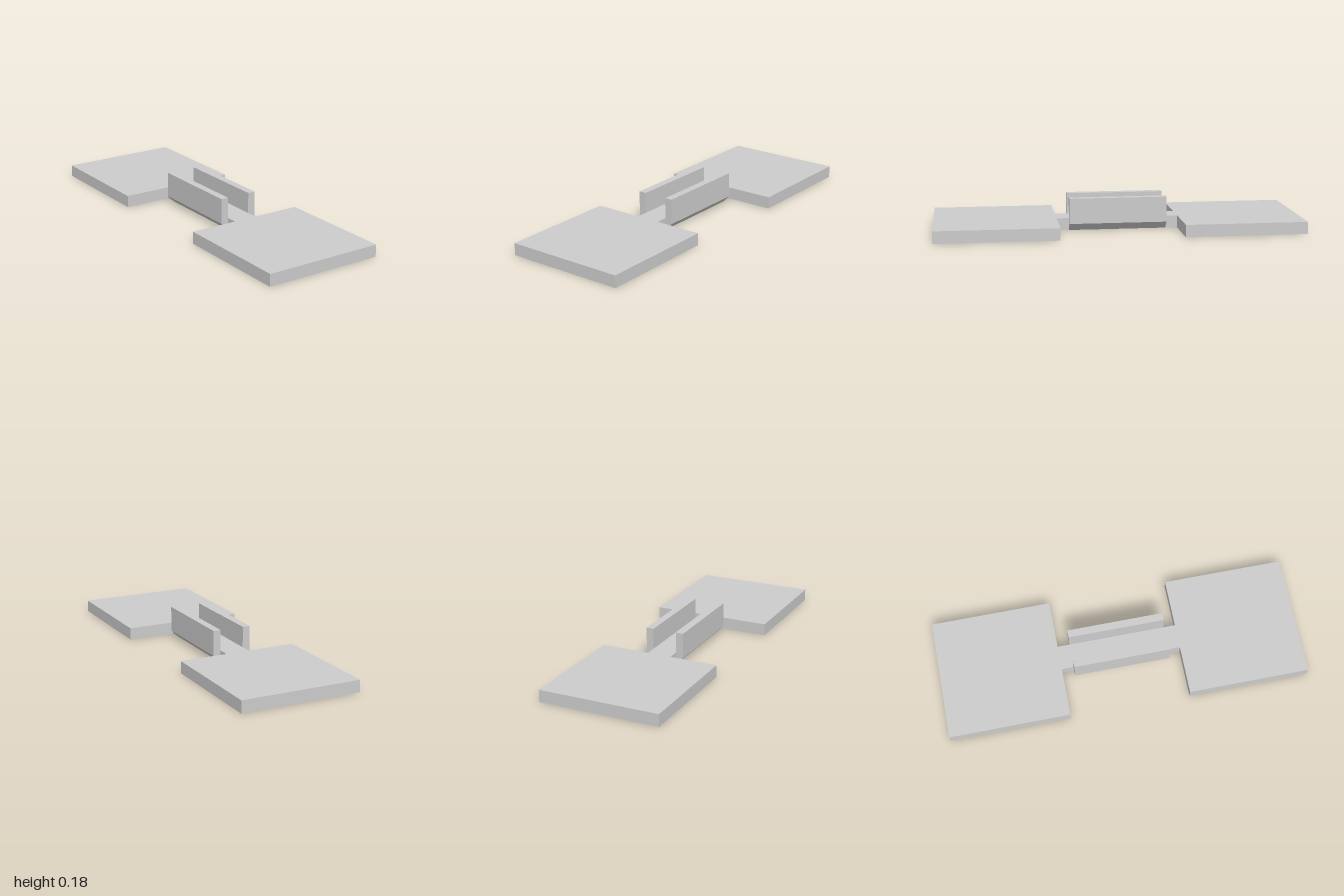
import * as THREE from 'three';

const material = new THREE.MeshStandardMaterial({ color: 0xcccccc, flatShading: true });

const END = 1, HALF_WIDTH = 0.3333, NECK_END = 0.3333, NECK_HALF = 0.0667;
const THICKNESS = 0.0667, RAIL_TOP = 0.181, RAIL_WIDTH = 0.0417, RAIL_LENGTH = 0.533;

function extrude(name, points, depth) {
  const shape = new THREE.Shape(points.map(([x, y]) => new THREE.Vector2(x, y)));
  const mesh = new THREE.Mesh(new THREE.ExtrudeGeometry(shape, { depth, bevelEnabled: false }), material);
  mesh.name = name;
  return mesh;
}

export function createModel() {
  const group = new THREE.Group();
  group.name = 'connector';

  // Flat base: two square pads joined by a narrow neck
  const half = [[HALF_WIDTH, -END], [HALF_WIDTH, -NECK_END], [NECK_HALF, -NECK_END],
    [NECK_HALF, NECK_END], [HALF_WIDTH, NECK_END], [HALF_WIDTH, END]];
  const base = extrude('base', [...half, ...half.map(([x, y]) => [-x, -y])], THICKNESS);
  base.rotation.x = -Math.PI / 2;
  group.add(base);

  // Upright rails on both sides of the neck, underside sloping at 45 degrees
  for (const [name, s] of [['leftRail', 1], ['rightRail', -1]]) {
    const inner = s * NECK_HALF, outer = s * (NECK_HALF + RAIL_WIDTH);
    const rail = extrude(name, [[inner, 0], [outer, RAIL_WIDTH], [outer, RAIL_TOP], [inner, RAIL_TOP]], RAIL_LENGTH);
    rail.position.z = -RAIL_LENGTH / 2;
    group.add(rail);
  }
  return group;
}
